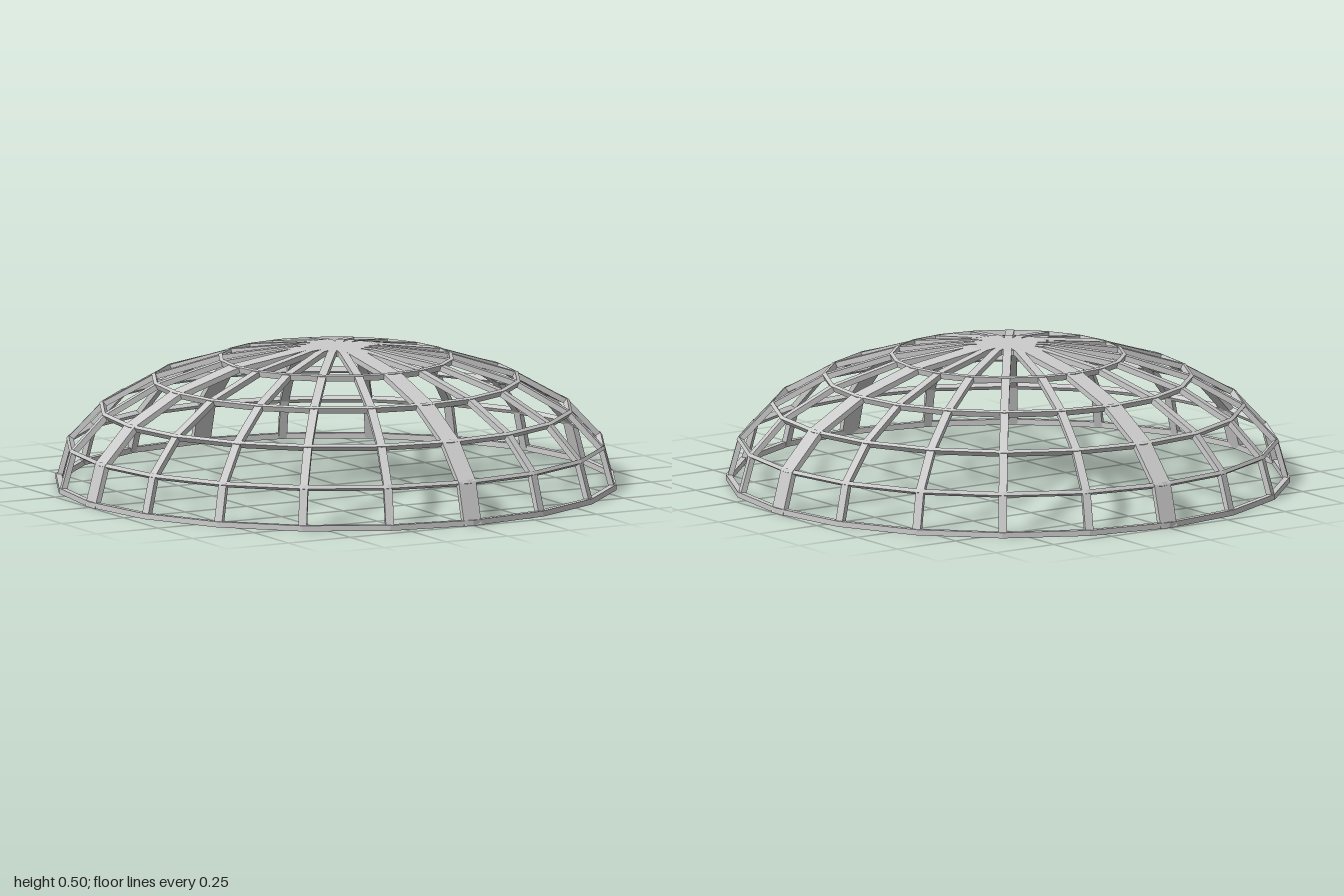
import * as THREE from 'three';

const SIDES = 20; // ribs around the dome, and sides of each ring
const STEP = Math.PI / 11; // a full arch has 11 straight segments
const BASE = 0.01;

// Point on the elliptical dome, pushed out along the surface normal
function domePoint(angle, out = 0, along = 0) {
  const c = Math.cos(angle), s = Math.sin(angle);
  const n = new THREE.Vector2(c * 0.485, s * 0.985).normalize();
  return new THREE.Vector2(0.988 * c, BASE + 0.483 * s)
    .addScaledVector(n, out)
    .addScaledVector(new THREE.Vector2(-n.y, n.x), along);
}

// Half arch from the base to the crown, extruded to the given width
function ribGeometry(width) {
  const outer = [], inner = [];
  for (let k = 0; k <= 5; k++) {
    outer.push(domePoint(k * STEP, 0.01));
    inner.push(domePoint(k * STEP, -0.01));
  }
  outer[0].y = inner[0].y = 0;
  outer.push(new THREE.Vector2(0, outer[5].y));
  inner.push(new THREE.Vector2(0, inner[5].y));
  const shape = new THREE.Shape([...outer, ...inner.reverse()]);
  const geo = new THREE.ExtrudeGeometry(shape, { depth: width, bevelEnabled: false });
  return geo.translate(0, 0, -width / 2);
}

// Closed rectangular section, tilted with the dome, turned into a polygon ring
function ringGeometry(angle, halfHeight) {
  const o = 0.012, i = -0.009, h = halfHeight;
  const corners = [[o, -h], [o, h], [i, h], [i, -h], [o, -h]];
  const section = corners.map(([out, along]) => domePoint(angle, out, along));
  return new THREE.LatheGeometry(section, SIDES);
}

export function createModel() {
  const model = new THREE.Group();
  model.name = 'domeFrame';
  const material = new THREE.MeshStandardMaterial({ color: 0xcccccc, flatShading: true });

  // Ribs: four wide main ones on the axes, narrow ones between
  const ribs = new THREE.Group();
  ribs.name = 'ribs';
  const wide = ribGeometry(0.07), narrow = ribGeometry(0.03);
  for (let i = 0; i < SIDES; i++) {
    const main = i % 5 === 0;
    const rib = new THREE.Mesh(main ? wide : narrow, material);
    rib.name = main ? 'mainRib' : 'rib';
    rib.rotation.y = (i / SIDES) * Math.PI * 2;
    ribs.add(rib);
  }
  model.add(ribs);

  // Base ring and four slimmer horizontal hoops
  const rings = new THREE.Group();
  rings.name = 'rings';
  for (let k = 0; k < 5; k++) {
    const ring = new THREE.Mesh(ringGeometry(k * STEP, k === 0 ? 0.01 : 0.007), material);
    ring.name = k === 0 ? 'baseRing' : 'hoop';
    rings.add(ring);
  }
  model.add(rings);

  // Octagonal crown plate closing the gaps where the ribs meet
  const hub = new THREE.Mesh(new THREE.CylinderGeometry(0.12, 0.12, 0.018, 8), material);
  hub.name = 'crownPlate';
  hub.position.y = 0.487;
  hub.rotation.y = Math.PI / 8;
  model.add(hub);

  return model;
}
